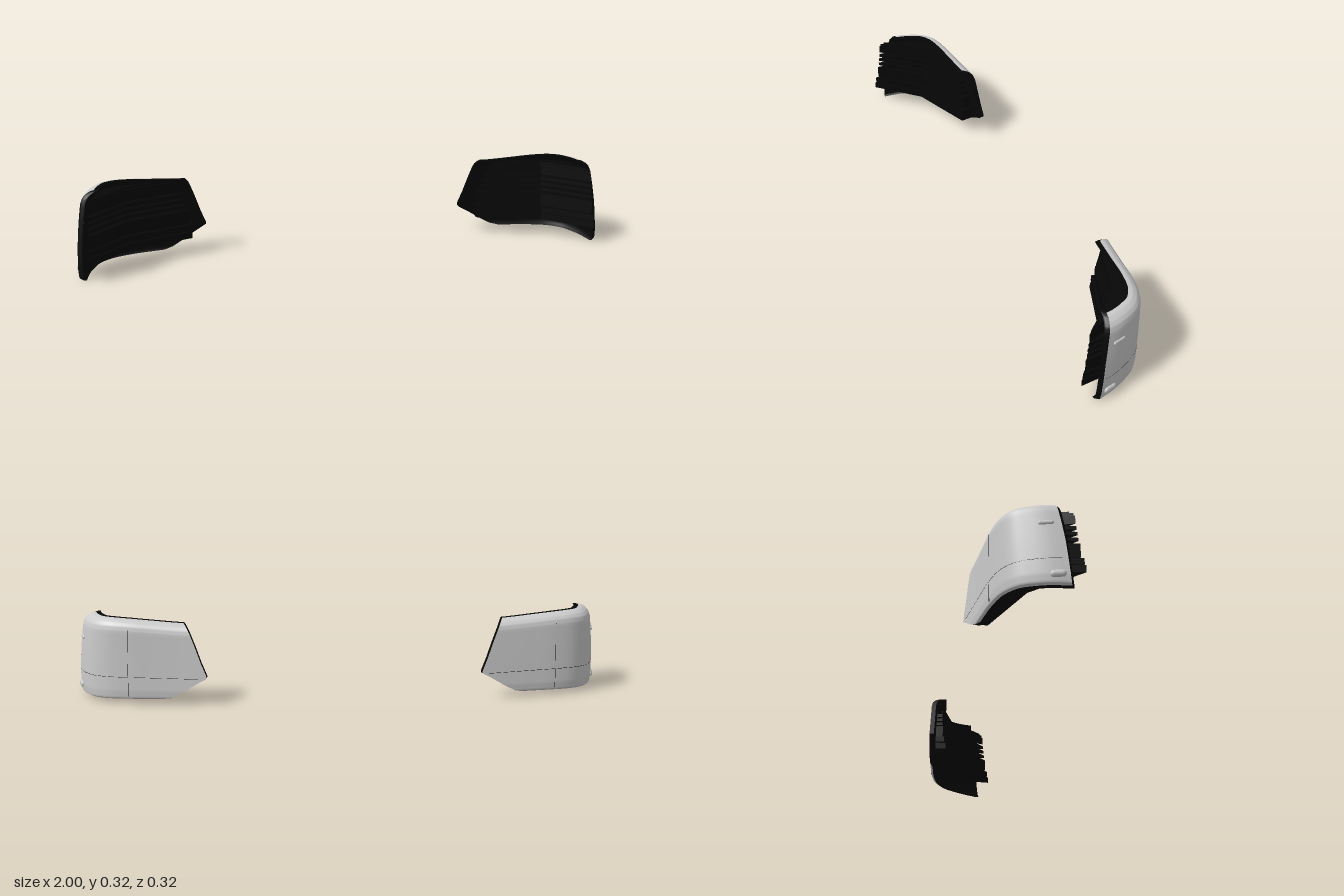
import * as THREE from 'three';

const grey = new THREE.MeshStandardMaterial({ color: 0xcccccc, side: THREE.DoubleSide });
const black = new THREE.MeshStandardMaterial({ color: 0x060606, side: THREE.DoubleSide });

// Plan curve of the lamp, from its inner tip round to the flank (x, z)
const plan = new THREE.CatmullRomCurve3([
  [0.51, -0.16], [0.6, -0.147], [0.7, -0.132], [0.8, -0.115], [0.88, -0.09],
  [0.935, -0.05], [0.965, 0], [0.985, 0.05], [1, 0.113],
].map(([x, z]) => new THREE.Vector3(x, 0, z)));
const planLength = plan.getLength();

// Cross-section rows: height fraction, inner start x, inward offset, outer end along the curve
const rows = [
  [0, 0.68, 0.012, 0.99], [0.02, 0.645, 0.003, 0.99], [0.11, 0.597, 0, 0.99], [0.2, 0.557, 0, 0.99],
  [0.29, 0.512, 0, 0.99], [0.32, 0.511, 0, 0.99], [0.5, 0.531, 0, 0.99], [0.7, 0.55, 0, 0.985],
  [0.86, 0.567, 0, 0.98], [0.92, 0.575, 0.004, 0.975], [0.96, 0.583, 0.013, 0.965],
  [0.99, 0.592, 0.027, 0.955], [1, 0.6, 0.042, 0.945],
];

// Point on the lamp: t along the plan curve, f up its height, off inward
function skin(t, f, off) {
  const p = plan.getPointAt(t), d = plan.getTangentAt(t);
  const bottom = 0.02 - 0.019 * t ** 3;
  const top = 0.295 + 0.022 * THREE.MathUtils.smoothstep(t, 0, 0.65);
  const y = bottom + (top - bottom) * f;
  return new THREE.Vector3(
    p.x - d.z * off - 0.03 * f * f * t * t,
    y,
    p.z + d.x * off + f * (0.01 - 0.04 * t * t),
  );
}

// u runs from tip to flank, v runs through the rows; deeper inset gives the inner skin
function surface(u, v, inset = 0, reach = 0) {
  const s = v * (rows.length - 1), i = Math.min(Math.floor(s), rows.length - 2), k = s - i;
  const [f, startX, off, end] = rows[i].map((a, j) => THREE.MathUtils.lerp(a, rows[i + 1][j], k));
  const t0 = (startX - 0.51) / planLength;
  const t = THREE.MathUtils.lerp(t0, Math.min(1, end + reach), u);
  return skin(THREE.MathUtils.clamp(t, 0, 1), f, off + inset);
}

function grid(nu, nv, fn) {
  const pos = [], index = [];
  for (let j = 0; j <= nv; j++) for (let i = 0; i <= nu; i++) {
    pos.push(...fn(i / nu, j / nv).toArray());
    if (i < nu && j < nv) {
      const a = j * (nu + 1) + i, b = a + 1, c = a + nu + 1;
      index.push(a, c, b, b, c, c + 1);
    }
  }
  const g = new THREE.BufferGeometry();
  g.setAttribute('position', new THREE.Float32BufferAttribute(pos, 3));
  g.setIndex(index);
  g.computeVertexNormals();
  return g;
}

// Point in (u, v) going once round the border of the lens
function border(s) {
  const q = Math.min(s * 4, 3.99999), k = q % 1;
  return [[k, 0], [1, k], [1 - k, 1], [0, 1 - k]][Math.floor(q)];
}

// Horizontal housing slab between two heights, reaching forward to frontZ
function slab(y0, y1, frontZ) {
  const y = (y0 + y1) / 2, f = (y - 0.01) / 0.3, dz = frontZ - 0.155;
  const tipX = 0.56 + 0.35 * Math.abs(y - 0.1);
  const pts = [[tipX, -0.095 + (tipX - 0.55) * 0.36 + dz], [0.81, dz], [0.962 + 0.5 * dz, frontZ]];
  for (let i = 0; i <= 14; i++) {
    const t = THREE.MathUtils.lerp(0.86, (tipX + 0.01 - 0.51) / planLength, i / 14);
    const p = skin(t, f, y > 0.24 ? 0.044 : 0.024);
    pts.push([p.x, p.z]);
  }
  const shape = new THREE.Shape(pts.map(([x, z]) => new THREE.Vector2(x, -z)));
  return new THREE.ExtrudeGeometry(shape, { depth: y1 - y0, bevelEnabled: false })
    .rotateX(-Math.PI / 2).translate(0, y0, 0);
}

// Thin line lying on the lens
function seam(fn) {
  const pts = Array.from({ length: 16 }, (_, i) => fn(i / 15));
  return new THREE.TubeGeometry(new THREE.CatmullRomCurve3(pts), 40, 0.001, 5);
}

// Raised pill on the flank
function pill(t, f, length, height) {
  const p = skin(t, f, 0);
  return new THREE.CapsuleGeometry(height / 2, length - height, 8, 20)
    .rotateX(Math.PI / 2).scale(0.6, 1, 1).rotateY(0.26).translate(p.x, p.y, p.z);
}

function mirrored(source) {
  const g = source.clone().scale(-1, 1, 1);
  const n = g.attributes.position.count;
  const old = g.index ? Array.from(g.index.array) : Array.from({ length: n }, (_, i) => i);
  for (let i = 0; i < old.length; i += 3) [old[i], old[i + 1]] = [old[i + 1], old[i]];
  g.setIndex(old);
  return g;
}

export function createModel() {
  const parts = [
    ['lens', grid(48, 48, (u, v) => surface(u, v)), grey],
    ['innerSkin', grid(32, 24, (u, v) => surface(u, v, 0.018, 0.015)), black],
    ['rim', grid(160, 2, (s, w) => {
      const [u, v] = border(s);
      return surface(u, v, 0.018 * w, 0.015 * Math.min(1, w * 2));
    }), black],
    ['upperMarker', pill(0.9, 0.71, 0.05, 0.015), grey],
    ['lowerMarker', pill(0.93, 0.11, 0.05, 0.024), grey],
    ['horizontalSeam', seam((k) => skin(0.04 + 0.93 * k, 0.285, 0.0006)), black],
    ['verticalSeam', seam((k) => skin(0.47, 0.04 + 0.84 * k, 0.0006)), black],
  ];
  // Stacked slabs of the housing: bottom, top, forward reach
  [
    [0.065, 0.09, 0.161], [0.093, 0.116, 0.157], [0.12, 0.17, 0.147], [0.18, 0.192, 0.142],
    [0.202, 0.214, 0.14], [0.222, 0.236, 0.137], [0.245, 0.275, 0.135], [0.275, 0.286, 0.13],
    [0.286, 0.293, 0.118],
  ].forEach((s, i) => parts.push([`housingSlab${i + 1}`, slab(...s), black]));

  const model = new THREE.Group();
  model.name = 'tailLamps';
  for (const side of ['left', 'right']) {
    const lamp = new THREE.Group();
    lamp.name = `${side}Lamp`;
    for (const [name, geometry, material] of parts) {
      const mesh = new THREE.Mesh(side === 'left' ? geometry : mirrored(geometry), material);
      mesh.name = name;
      lamp.add(mesh);
    }
    model.add(lamp);
  }
  return model;
}
